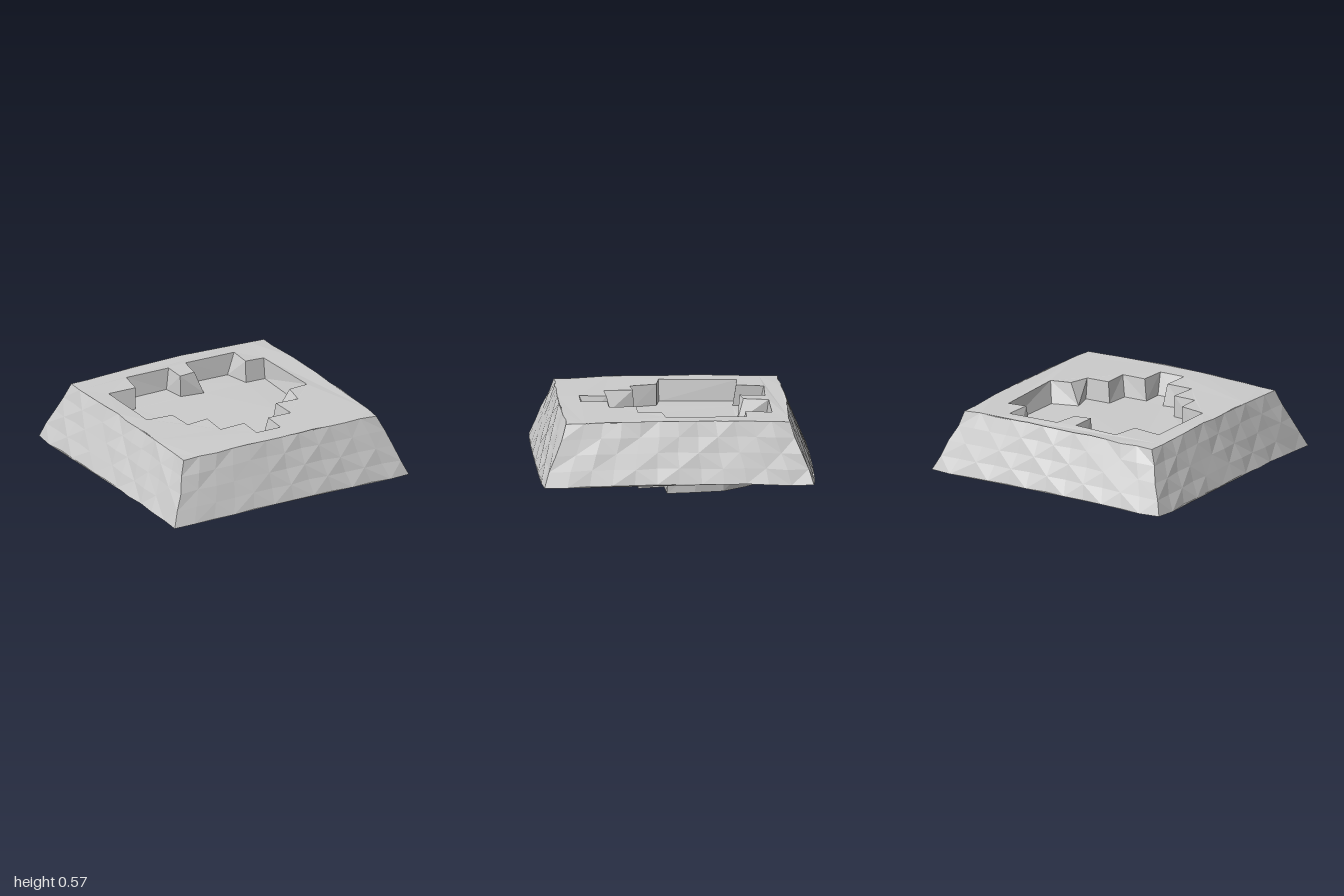
import * as THREE from 'three';
import { mergeGeometries } from 'three/addons/utils/BufferGeometryUtils.js';

const SEG = 12;

// Small hewn-stone wobble plus a gentle rise away from the corners
function roughen(geo, amp = 0.006) {
  const p = geo.attributes.position;
  for (let i = 0; i < p.count; i++) {
    const x = p.getX(i), y = p.getY(i), z = p.getZ(i);
    const rise = y > 0.1 ? 0.016 * Math.max(0, 1 - Math.min(Math.abs(x), Math.abs(z)) ** 2 / 0.65) : 0;
    p.setXYZ(i,
      x + amp * Math.sin(17 * z + 23 * y + 3 * x),
      y + rise + 0.7 * amp * Math.sin(13 * x + 2) * Math.sin(11 * z + 1),
      z + amp * Math.sin(19 * x + 29 * y + 2 * z));
  }
  geo.computeVertexNormals();
  return geo;
}

// Walls through stacked loops of [x, z]; clockwise loops (seen from above) face inward
function loft(loops, heights) {
  const pos = [];
  for (let k = 0; k + 1 < loops.length; k++) {
    const lo = loops[k], hi = loops[k + 1], n = lo.length;
    for (let i = 0; i < n; i++) {
      const j = (i + 1) % n;
      const A = [lo[i][0], heights[k], lo[i][1]], B = [lo[j][0], heights[k], lo[j][1]];
      const a = [hi[i][0], heights[k + 1], hi[i][1]], b = [hi[j][0], heights[k + 1], hi[j][1]];
      if ((i + k) % 2) pos.push(...A, ...B, ...b, ...A, ...b, ...a);
      else pos.push(...A, ...B, ...a, ...B, ...b, ...a);
    }
  }
  const g = new THREE.BufferGeometry();
  g.setAttribute('position', new THREE.Float32BufferAttribute(pos, 3));
  return g;
}

// Flat face at height y, facing up or down, with an optional hole
function cap(loop, y, up, hole) {
  const s = up ? -1 : 1;
  const pts = (l) => l.map(([x, z]) => new THREE.Vector2(x, s * z));
  const shape = new THREE.Shape(pts(loop));
  if (hole) shape.holes.push(new THREE.Path(pts(hole)));
  const g = new THREE.ShapeGeometry(shape).rotateX(s * Math.PI / 2).translate(0, y, 0).toNonIndexed();
  g.deleteAttribute('uv');
  g.deleteAttribute('normal');
  return g;
}

// Square ring with slightly bulging sides
function ring(h) {
  const sides = [[], [], [], []];
  for (let i = 0; i < SEG; i++) {
    const t = -1 + 2 * i / SEG, b = 1 - t * t;
    sides[0].push([-h - 0.006 * b, t * h]);
    sides[1].push([t * h, h + 0.016 * b]);
    sides[2].push([h + 0.006 * b, -t * h]);
    sides[3].push([-t * h, -h - 0.016 * b]);
  }
  return sides.flat();
}

export function createModel() {
  const model = new THREE.Group();
  const stone = new THREE.MeshStandardMaterial({ color: 0xcccccc, flatShading: true });
  const add = (name, geos, amp) => {
    const mesh = new THREE.Mesh(roughen(mergeGeometries(geos), amp), stone);
    mesh.name = name;
    model.add(mesh);
  };

  // Stepped heart recess: opening and floor outlines
  const opening = [
    [-.67, -.51], [-.45, -.49], [-.41, -.69], [-.07, -.68], [-.07, -.5], [.06, -.51], [.08, -.69],
    [.49, -.69], [.48, -.5], [.63, -.51], [.65, .08], [.49, .1], [.46, .27], [.28, .27], [.28, .47],
    [.09, .47], [.09, .66], [-.11, .66], [-.11, .46], [-.31, .48], [-.29, .27], [-.46, .27],
    [-.48, .08], [-.67, .06]];
  const floor = [
    [-.635, -.475], [-.465, -.47], [-.43, -.66], [-.09, -.66], [-.08, -.485], [.1, -.465], [.09, -.67],
    [.43, -.67], [.46, -.48], [.625, -.48], [.61, .03], [.41, .07], [.455, .25], [.25, .26], [.25, .44],
    [.07, .44], [.06, .59], [-.08, .6], [-.09, .43], [-.26, .44], [-.3, .255], [-.455, .25],
    [-.48, .08], [-.645, .06]];

  // Tapered block
  const levels = [0, 0.25, 0.5, 0.75, 1];
  const rings = levels.map((t) => ring(0.977 - 0.175 * t));
  const heights = levels.map((t) => 0.125 + 0.43 * t);
  add('taperedBlockSides', [loft(rings, heights)]);
  add('topFace', [cap(rings[4], 0.555, true, opening)]);
  add('underside', [cap(rings[0], 0.125, false)]);
  add('heartRecess', [loft([floor, opening], [0.4, 0.555]), cap(floor, 0.4, true)]);

  // Heart plug below: stepped toward the tip, rounded lobes behind, mirrored in x
  const half = [
    [.08, -.49], [.09, -.65], [.3, -.63], [.49, -.51], [.61, -.33], [.655, -.13], [.65, .07],
    [.46, .08], [.46, .27], [.27, .27], [.27, .46], [.08, .46], [.08, .65]];
  const plug = [...half, ...half.map(([x, z]) => [-x, z]).reverse()].reverse();
  const plugTop = plug.map(([x, z]) => [x * 1.02, z * 1.02]);
  add('heartPlug', [loft([plug, plugTop], [0.01, 0.16]), cap(plug, 0.01, false)], 0.008);

  return model;
}
